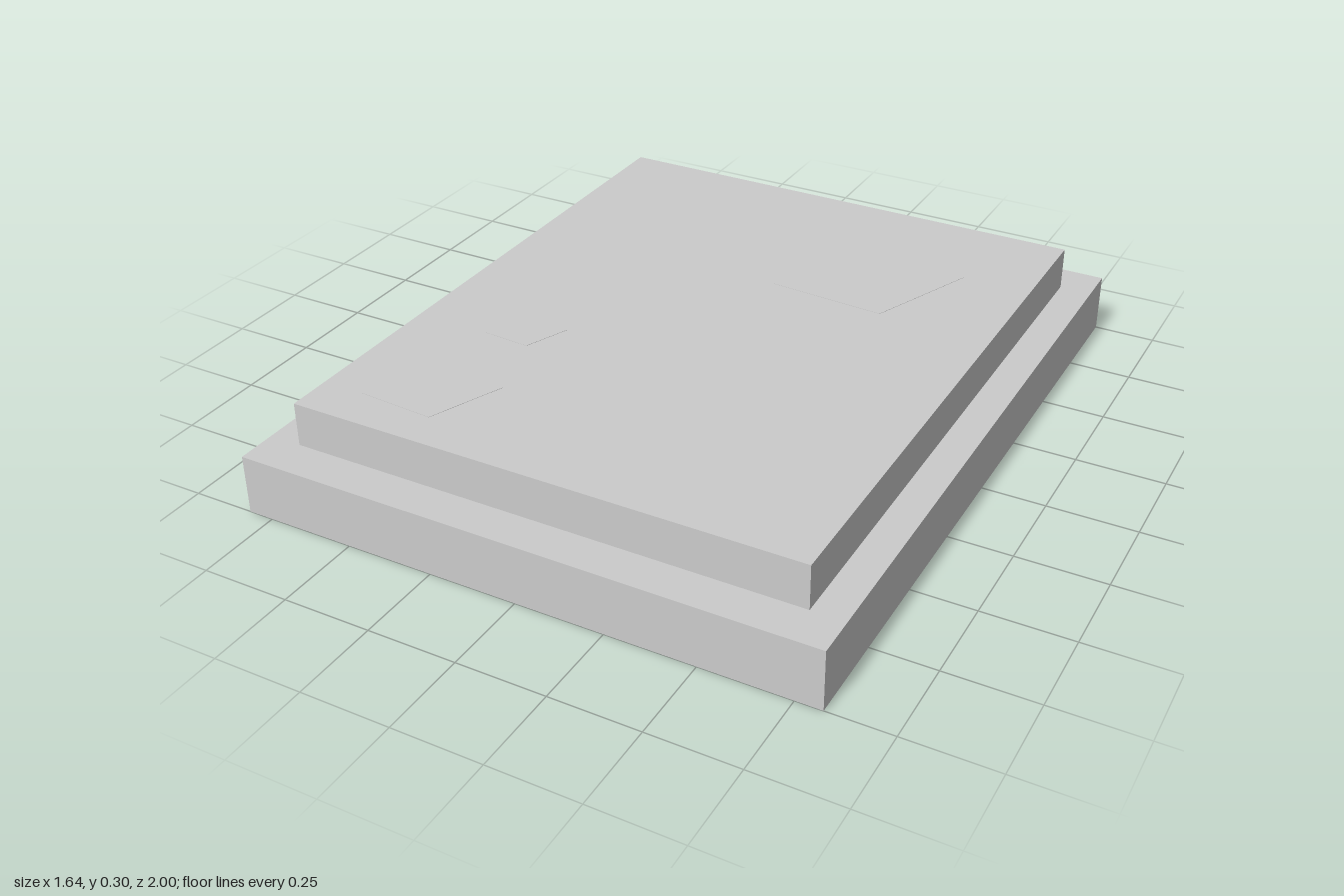
import * as THREE from 'three';

const BASE_TOP = 0.17;
const SLAB_TOP = 0.295;

export function createModel() {
  const model = new THREE.Group();
  model.name = 'steppedPlatform';
  const material = new THREE.MeshStandardMaterial({ color: 0xcccccc, flatShading: true });

  const add = (name, geometry, x, y, z) => {
    const mesh = new THREE.Mesh(geometry, material);
    mesh.name = name;
    mesh.position.set(x, y, z);
    model.add(mesh);
  };

  // Wide lower step
  add('base', new THREE.BoxGeometry(1.645, BASE_TOP, 2), 0, BASE_TOP / 2, 0);

  // Inset upper step
  const slabHeight = SLAB_TOP - BASE_TOP;
  add('upperSlab', new THREE.BoxGeometry(1.458, slabHeight, 1.772), 0, BASE_TOP + slabHeight / 2, 0);

  // Five-sided inlays, practically flush with the slab: [name, radius, x, z]
  const depth = 0.02;
  const inlays = [
    ['largeInlay', 0.29, 0.247, -0.504],
    ['mediumInlay', 0.19, -0.487, 0.617],
    ['smallInlay', 0.117, -0.431, 0.257],
  ];
  for (const [name, radius, x, z] of inlays) {
    const geometry = new THREE.CylinderGeometry(radius, radius, depth, 5, 1, false, THREE.MathUtils.degToRad(32));
    add(name, geometry, x, SLAB_TOP + 0.001 - depth / 2, z);
  }

  return model;
}
